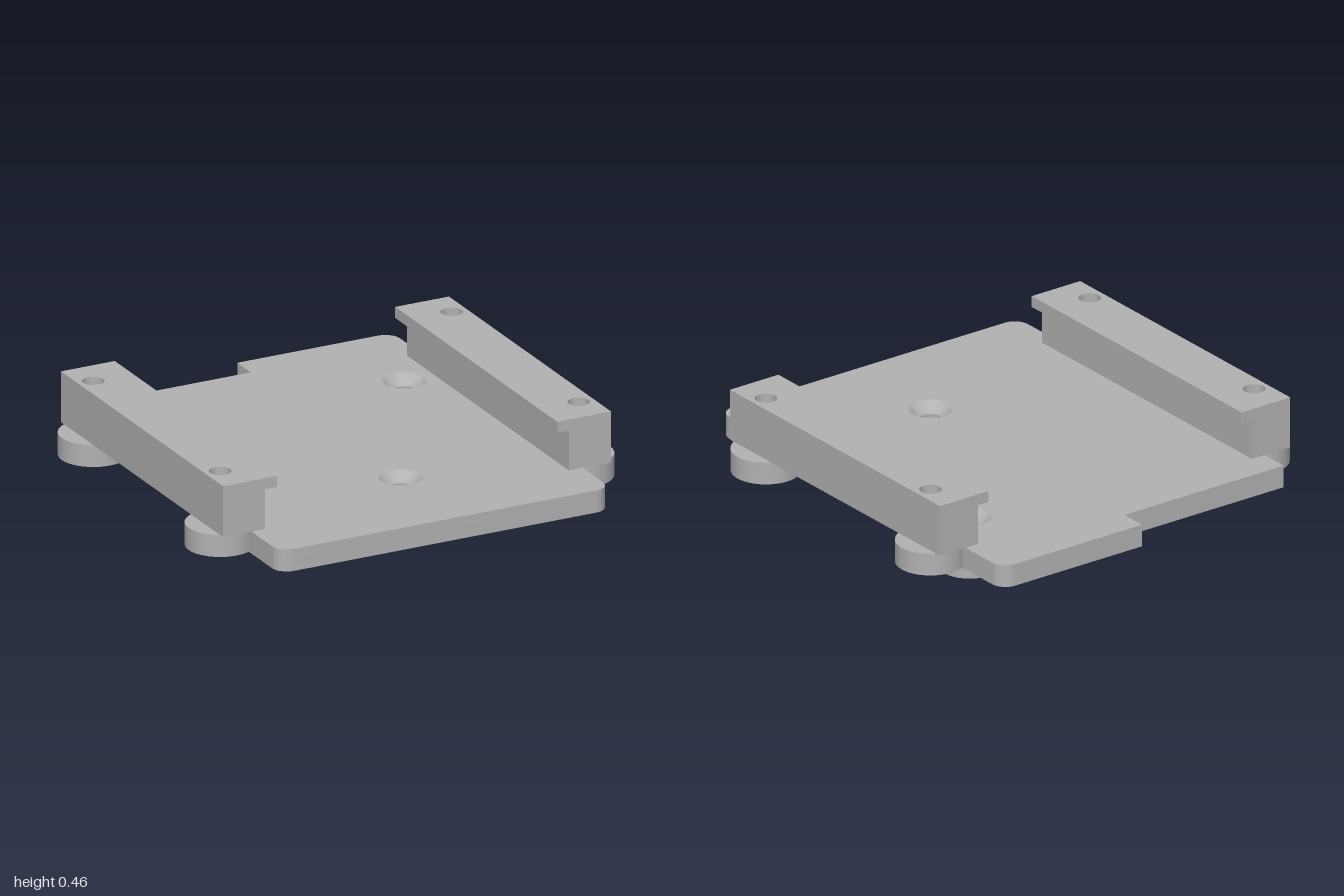
import * as THREE from 'three';
import { toCreasedNormals } from 'three/addons/utils/BufferGeometryUtils.js';

const PLATE_Y = 0.13, MID_Y = 0.185, TOP_Y = 0.23, LIP_Y = 0.41, RAIL_TOP = 0.46;
const HOLE_R = 0.047, SINK_R = 0.093, EAR_X = 0.85, EAR_Z = 0.577, EAR_R = 0.15;
const BOSSES = [[0.057, 0.48], [0.58, -0.49]];

// Closed hole outline; 6 sides gives a nut pocket
function hole(x, z, r, sides = 32) {
  const pts = [];
  for (let i = 0; i < sides; i++) {
    const a = (i / sides) * Math.PI * 2;
    pts.push(new THREE.Vector2(x + r * Math.cos(a), -z + r * Math.sin(a)));
  }
  return new THREE.Path(pts).closePath();
}

// Horizontal slab between two heights; shape coordinates are (x, -z)
function slab(shape, holes, y0, y1) {
  shape.holes = holes;
  const g = new THREE.ExtrudeGeometry(shape, { depth: y1 - y0, bevelEnabled: false, curveSegments: 24 });
  g.rotateX(-Math.PI / 2).translate(0, y0, 0);
  return toCreasedNormals(g, 0.6);
}

// Plate outline with rounded corners, four round ears and a rear step
function plateShape() {
  const w = 0.785, d = 0.993, r = 0.07, PI = Math.PI;
  const a = Math.acos((w - EAR_X) / EAR_R);
  const s = new THREE.Shape();
  s.moveTo(-w + r, -d);
  s.lineTo(w - r, -d);
  s.absarc(w - r, -d + r, r, -PI / 2, 0, false);
  for (const y of [-EAR_Z, EAR_Z]) s.absarc(EAR_X, y, EAR_R, -a, a, false);
  s.absarc(w - r, d - r, r, 0, PI / 2, false);
  s.lineTo(0.05, d);
  s.lineTo(0.05, 0.87);
  s.lineTo(-w, 0.87);
  for (const y of [EAR_Z, -EAR_Z]) s.absarc(-EAR_X, y, EAR_R, PI - a, PI + a, false);
  s.absarc(-w + r, -d + r, r, PI, PI * 1.5, false);
  return s;
}

function rectShape(x0, x1, halfZ) {
  return new THREE.Shape([[x0, -halfZ], [x1, -halfZ], [x1, halfZ], [x0, halfZ]].map(p => new THREE.Vector2(...p)));
}

export function createModel() {
  const model = new THREE.Group();
  model.name = 'mountingPlate';
  const grey = new THREE.MeshStandardMaterial({ color: 0xb2b2b2 });
  grey.name = 'grey';
  const sinkGrey = grey.clone();
  sinkGrey.side = THREE.DoubleSide;
  const add = (geometry, name, material = grey) => {
    const mesh = new THREE.Mesh(geometry, material);
    mesh.name = name;
    model.add(mesh);
    return mesh;
  };

  const ears = [];
  for (const x of [-EAR_X, EAR_X]) for (const z of [-EAR_Z, EAR_Z]) ears.push([x, z]);

  // Base plate: nut pockets below, screw holes and countersinks above
  add(slab(plateShape(), [
    ...ears.map(([x, z]) => hole(x, z, 0.105, 6)),
    ...BOSSES.map(([x, z]) => hole(x, z, HOLE_R)),
  ], PLATE_Y, MID_Y), 'plateLower');
  add(slab(plateShape(), [
    ...ears.map(([x, z]) => hole(x, z, HOLE_R)),
    ...BOSSES.map(([x, z]) => hole(x, z, SINK_R)),
  ], MID_Y, TOP_Y), 'plateUpper');

  // Tubular standoffs under the plate with countersunk cones on top
  for (const [x, z] of BOSSES) {
    const ring = new THREE.Shape();
    ring.absarc(x, -z, 0.128, 0, Math.PI * 2, false);
    add(slab(ring, [hole(x, z, HOLE_R)], 0, PLATE_Y), 'standoff');
    const cone = new THREE.LatheGeometry(
      [new THREE.Vector2(HOLE_R, MID_Y), new THREE.Vector2(SINK_R, TOP_Y)], 32);
    add(cone, 'countersink', sinkGrey).position.set(x, 0, z);
  }

  // Side rails: upright body with a lip reaching inward
  for (const side of [-1, 1]) {
    const holes = () => [-EAR_Z, EAR_Z].map(z => hole(side * EAR_X, z, HOLE_R));
    add(slab(rectShape(side * 0.72, side * 0.92, 0.737), holes(), TOP_Y, LIP_Y), 'railBody');
    add(slab(rectShape(side * 0.665, side * 0.92, 0.737), holes(), LIP_Y, RAIL_TOP), 'railLip');
  }
  return model;
}
